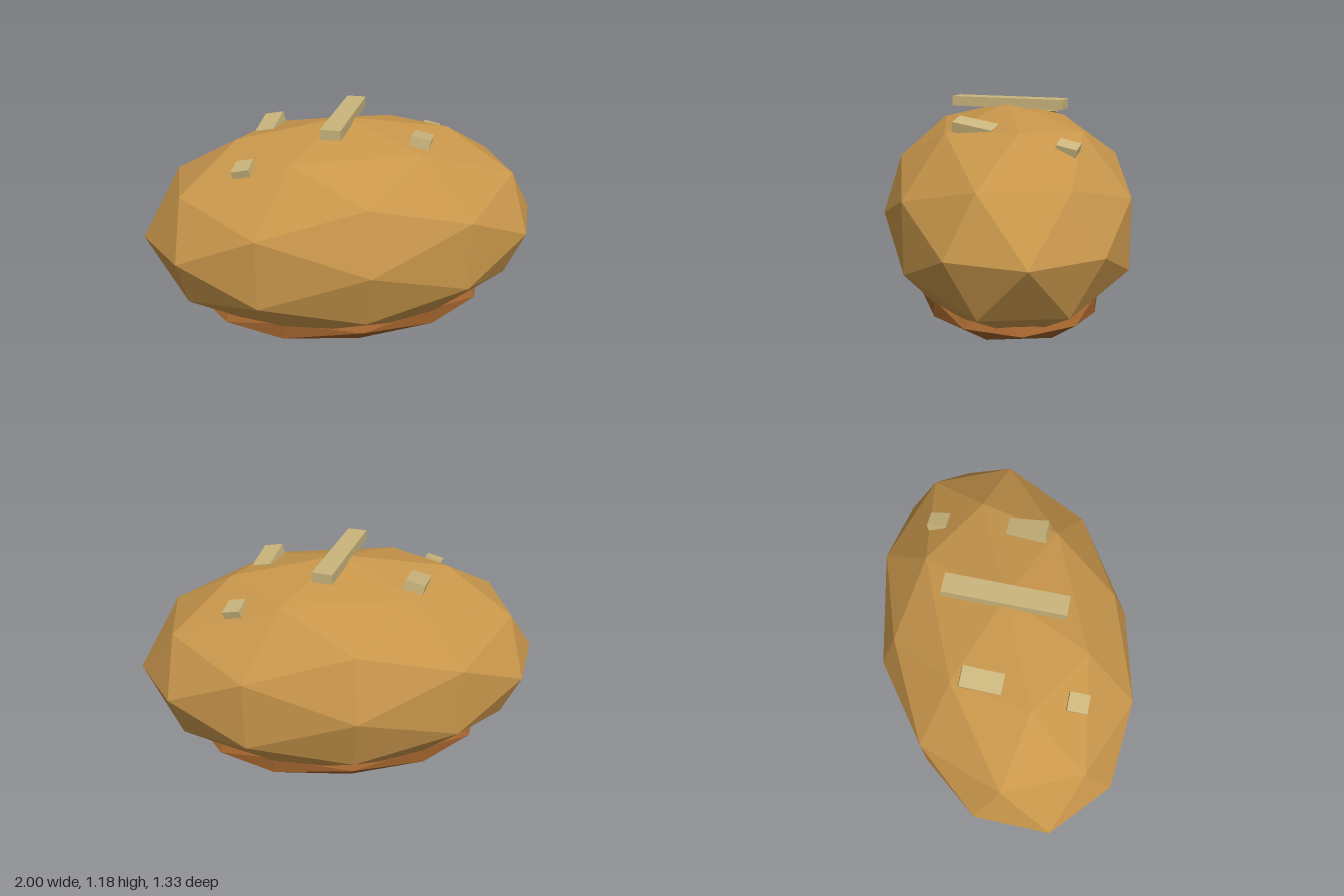
import * as THREE from 'three';

function material(name, color) {
  const m = new THREE.MeshStandardMaterial({ color, flatShading: true });
  m.name = name;
  return m;
}

export function createModel() {
  const loaf = new THREE.Group();
  loaf.name = 'breadLoaf';
  const crust = material('golden crust', 0xc8964b);
  const base = material('baked brown', 0x9c602c);
  const score = material('pale score', 0xcab57c);

  // Faceted ellipsoids: crust and the darker base it sits in
  function blob(name, mat, y, sx, sy, sz) {
    const mesh = new THREE.Mesh(new THREE.IcosahedronGeometry(1, 1), mat);
    mesh.name = name;
    mesh.scale.set(sx, sy, sz);
    mesh.position.y = y;
    mesh.rotation.y = -0.297;
    loaf.add(mesh);
  }
  blob('crustBody', crust, 0.578, 1.046, 0.578, 0.665);
  blob('bottomCrust', base, 0.18, 0.784, 0.143, 0.499);

  // Raised score marks: heading, then sideways roll and lengthwise pitch
  function mark(name, size, pos, roll = 0, pitch = 0) {
    const mesh = new THREE.Mesh(new THREE.BoxGeometry(...size), score);
    mesh.name = name;
    mesh.position.set(...pos);
    mesh.rotation.set(roll, 0.86, pitch, 'YXZ');
    loaf.add(mesh);
  }
  mark('centreScore', [0.6, 0.05, 0.1], [0, 1.155, 0]);
  for (const s of [1, -1]) {
    const side = s > 0 ? 'left' : 'right';
    mark(side + 'MiddleScore', [0.2, 0.05, 0.1], [0.285 * s, 1.072, 0.285 * s], 0.2 * s, -0.17 * s);
    mark(side + 'OuterScore', [0.1, 0.04, 0.09], [0.578 * s, 0.999, -0.065 * s], 0.22 * s, -0.22 * s);
  }
  return loaf;
}
